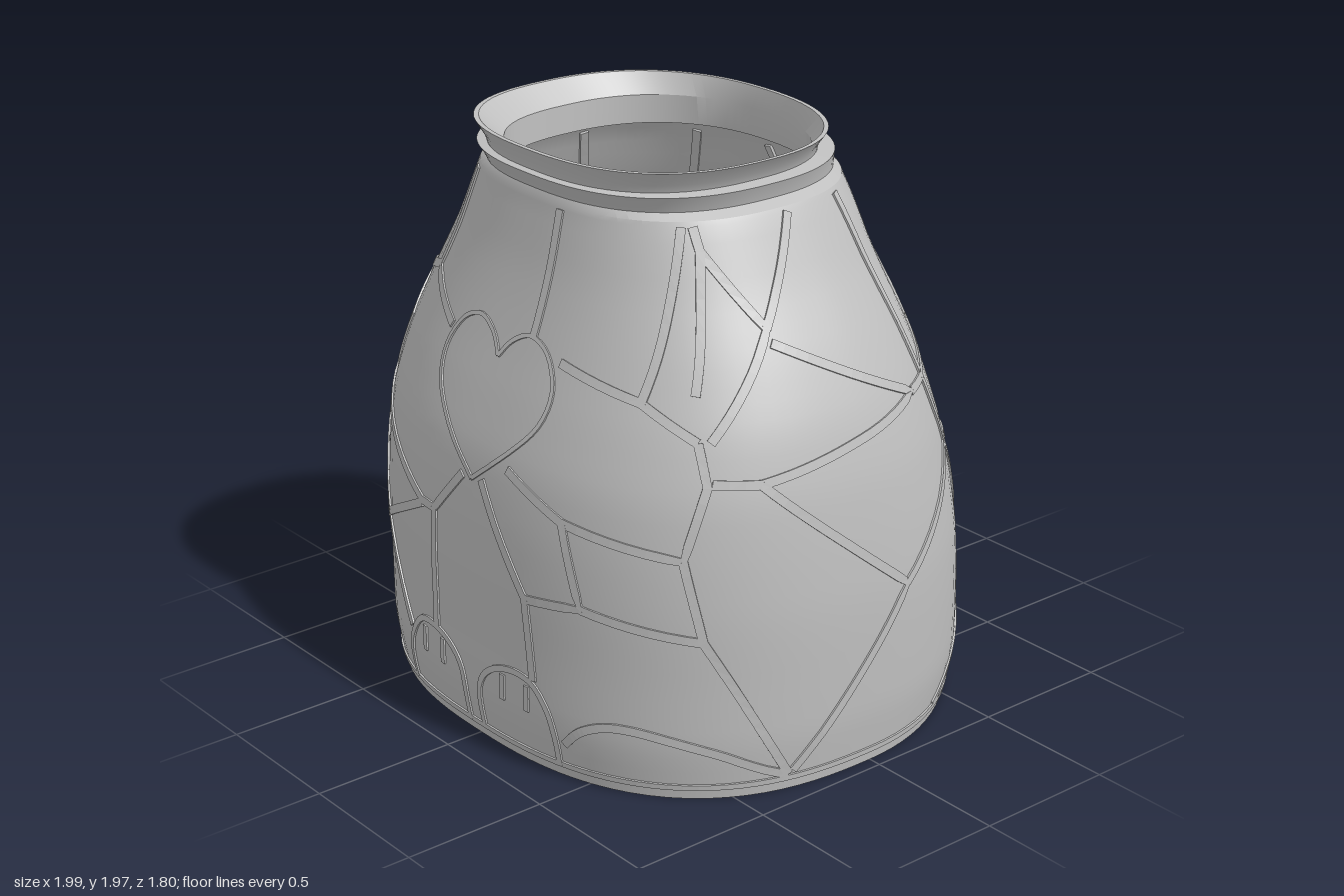
import * as THREE from 'three';
import { toCreasedNormals, mergeGeometries } from 'three/addons/utils/BufferGeometryUtils.js';

// half width, front depth and back depth of the body at every 0.2 of height
const SECTIONS = new THREE.CatmullRomCurve3([
  [0.955, 0.865, 0.855], [0.98, 0.895, 0.895], [0.987, 0.893, 0.888], [0.99, 0.893, 0.868], [0.978, 0.885, 0.83],
  [0.955, 0.858, 0.772], [0.905, 0.795, 0.697], [0.815, 0.722, 0.615], [0.7, 0.657, 0.52], [0.6, 0.61, 0.44],
].map((p) => new THREE.Vector3(...p)));
const section = (y) => SECTIONS.getPoint(THREE.MathUtils.clamp(y / 1.8, 0, 1));

// squareness of the oval: full at the front, rounder at the rear except near the collar
const power = (c, y) => (c > 0 ? 2.55 : 2 + 0.3 * THREE.MathUtils.smoothstep(y, 1.4, 1.8));

// point on an oval ring with its own front and back depth; angle 0 is the front
function ovalPoint(t, y, a, f, b) {
  const s = Math.sin(t), c = Math.cos(t), p = power(c, y);
  const k = (Math.abs(s) ** p + Math.abs(c) ** p) ** (-1 / p);
  return new THREE.Vector3(a * s * k, y, (f - b) / 2 + ((f + b) / 2) * c * k);
}
function onBody(t, y) {
  const s = section(y);
  return ovalPoint(t, y, s.x, s.y, s.z);
}

// skin a list of oval rings [y, a, f, b]
function loft(rings, n = 96) {
  const pos = [], idx = [];
  rings.forEach(([y, a, f, b]) => {
    for (let j = 0; j < n; j++) pos.push(...ovalPoint((j / n) * Math.PI * 2, y, a, f, b).toArray());
  });
  for (let i = 0; i < rings.length - 1; i++) {
    for (let j = 0; j < n; j++) {
      const k = (j + 1) % n, p = i * n, q = p + n;
      idx.push(p + j, p + k, q + k, p + j, q + k, q + j);
    }
  }
  const g = new THREE.BufferGeometry();
  g.setAttribute('position', new THREE.Float32BufferAttribute(pos, 3));
  g.setIndex(idx);
  return toCreasedNormals(g, 0.45);
}

// square-section strip through frames {p, n, s}: centre, normal, sideways (s = along x n)
function strip(frames, width, inner, outer) {
  const pos = [], idx = [];
  frames.forEach(({ p, n, s }) => {
    for (const [u, v] of [[-1, inner], [1, inner], [1, outer], [-1, outer]]) {
      pos.push(...p.clone().addScaledVector(s, (u * width) / 2).addScaledVector(n, v).toArray());
    }
  });
  const last = (frames.length - 1) * 4;
  for (let i = 0; i < last; i += 4) {
    for (let c = 0; c < 4; c++) {
      const a = i + c, b = i + ((c + 1) % 4);
      idx.push(a, b + 4, b, a, a + 4, b + 4);
    }
  }
  idx.push(0, 1, 2, 0, 2, 3, last, last + 2, last + 1, last, last + 3, last + 2);
  const g = new THREE.BufferGeometry();
  g.setAttribute('position', new THREE.Float32BufferAttribute(pos, 3));
  g.setIndex(idx);
  const flat = g.toNonIndexed();
  flat.computeVertexNormals();
  return flat;
}

// rib that follows the body through [angle, height] points
function rib(points, width = 0.03) {
  const path = [];
  points.forEach(([t, y], i) => {
    if (i === 0) return path.push([t, y]);
    const [t0, y0] = points[i - 1];
    const steps = Math.max(1, Math.ceil(Math.hypot((t - t0) * 0.8, y - y0) / 0.05));
    for (let k = 1; k <= steps; k++) path.push([t0 + ((t - t0) * k) / steps, y0 + ((y - y0) * k) / steps]);
  });
  const pts = path.map(([t, y]) => onBody(t, y));
  const frames = pts.map((p, i) => {
    const [t, y] = path[i];
    const along = pts[Math.min(i + 1, pts.length - 1)].clone().sub(pts[Math.max(i - 1, 0)]).normalize();
    const du = onBody(t + 0.01, y).sub(onBody(t - 0.01, y));
    const dv = onBody(t, Math.min(y + 0.01, 1.8)).sub(onBody(t, y - 0.01));
    const n = du.cross(dv).normalize();
    return { p, n, s: along.clone().cross(n).normalize() };
  });
  return strip(frames, width, -0.038, 0.006);
}

// angle of a point given by x (front), z (left side) or offset from a rear diagonal
const unit = (v) => THREE.MathUtils.clamp(v, -1, 1);
const other = (v, p) => (1 - Math.abs(v) ** p) ** (1 / p);
const angleOf = {
  front(u, y) {
    const x = unit(u / section(y).x);
    return Math.atan2(x, other(x, power(1, y)));
  },
  side(u, y) {
    const s = section(y), z = unit((u - (s.y - s.z) / 2) / ((s.y + s.z) / 2));
    return Math.atan2(other(z, power(z, y)), z);
  },
  rear(u, y) {
    const s = section(y);
    return (Math.PI * 7) / 6 + Math.asin(unit(u / (0.25 * s.x + 0.75 * (s.y + s.z) / 2)));
  },
};
const ribs = (face, list, width) =>
  mergeGeometries(list.map((path) => rib(path.map(([u, y]) => [angleOf[face](u, y), y]), width)));

const mirror = (path) => path.map(([x, y]) => [-x, y]);
const smooth = (path) =>
  new THREE.SplineCurve(path.map((p) => new THREE.Vector2(...p))).getPoints(28).map((p) => [p.x, p.y]);

const FRONT = [
  [[-0.38, 1.8], [-0.5, 1.45], [-0.28, 1.33]], [[-0.5, 1.45], [-0.73, 1.37], [-0.84, 1.32]],
  [[-0.58, 1.8], [-0.73, 1.37], [-0.67, 1.23], [-0.77, 1.02], [-0.94, 0.95]],
  [[-0.77, 1.02], [-0.28, 0.75], [-0.2, 0.75], [-0.05, 0.92]], [[-0.2, 0.75], [-0.2, 0.32]],
  [[-0.28, 0.74], [-0.62, 0.56], [-0.83, 0.43], [-0.93, 0.59]], [[-0.62, 0.56], [-0.38, 0.25]],
  [[-0.77, 1.02], [-0.68, 0.68], [-0.93, 0.59]], [[-0.68, 0.68], [-0.62, 0.56]], [[-0.83, 0.43], [-0.82, 0.05]],
  [[0.14, 1.8], [0.14, 1.41]], [[0.28, 1.36], [0.58, 1.3], [0.75, 1.2]], [[0.51, 1.8], [0.58, 1.3]],
  [[0.17, 1.0], [0.42, 0.9], [0.78, 0.84], [0.8, 1.07], [0.75, 1.2]],
  [[0.42, 0.9], [0.5, 0.63], [0.28, 0.6]], [[0.05, 0.93], [0.28, 0.6], [0.31, 0.32]],
  [[0.5, 0.63], [0.83, 0.57]], [[0.78, 0.84], [0.83, 0.57], [0.93, 0.06]],
  smooth([[0.43, 0.13], [0.5, 0.2], [0.6, 0.24], [0.72, 0.23], [0.85, 0.17], [0.93, 0.06]]),
];
const SIDE = [
  [[0.4, 1.8], [0.4, 1.73], [0.28, 1.5], [0.53, 1.2]], [[0.4, 1.73], [0.53, 1.33]], [[0.08, 1.8], [0.28, 1.5]],
  [[0.28, 1.46], [-0.25, 1.19], [0.42, 1.07], [0.55, 1.08]], [[-0.25, 1.19], [-0.37, 1.19]],
  [[0.42, 1.07], [-0.12, 0.61], [0.32, 0.07]], [[-0.12, 0.61], [-0.49, 0.93]],
  [[-0.16, 1.8], [-0.37, 1.19], [-0.49, 0.93], [-0.75, 0.43], [-0.82, 0.06]],
  [[-0.37, 1.19], [-0.56, 1.36]], [[-0.49, 0.93], [-0.74, 0.87]], [[-0.77, 0.35], [-0.35, 0.05]],
];
const REAR = [
  [[-0.44, 1.72], [-0.7, 1.32]], [[-0.23, 1.77], [-0.4, 1.34], [-0.36, 1.17]], [[-0.4, 1.34], [-0.7, 1.32]],
  [[0.04, 1.77], [0.12, 1.36], [0.29, 1.37], [0.45, 1.43], [0.4, 1.77]], [[0.45, 1.43], [0.68, 1.23], [0.8, 1.22]],
  [[0.68, 1.23], [0.65, 1.01], [0.44, 1.05], [0.07, 1.1], [0.12, 1.36]], [[0.29, 1.37], [0.44, 1.05]],
  [[0.07, 1.1], [-0.36, 1.17], [-0.34, 1.0], [0, 0.98], [0.07, 1.1]], [[-0.36, 1.17], [-0.64, 0.84], [-0.8, 0.9]],
  [[0, 0.98], [0, 0.75], [-0.31, 0.76], [-0.34, 1.0]],
  [[0, 0.75], [0.18, 0.55], [-0.07, 0.32], [-0.12, 0.04]], [[0.18, 0.55], [0.66, 0.44], [0.7, 0.04]],
  [[0.65, 1.01], [0.74, 0.82], [0.66, 0.44]], [[0.74, 0.82], [0.88, 0.95]],
  [[-0.31, 0.76], [-0.49, 0.66], [-0.42, 0.39], [-0.57, 0.36], [-0.57, 0.6], [-0.49, 0.66]],
  [[-0.57, 0.6], [-0.64, 0.84]], [[-0.42, 0.39], [-0.07, 0.32]], [[-0.57, 0.36], [-0.8, 0.42]],
];

export function createModel() {
  const model = new THREE.Group();
  const grey = new THREE.MeshStandardMaterial({ color: 0xc0c0c0 });
  grey.name = 'plain grey';
  const add = (name, geometry) => {
    const mesh = new THREE.Mesh(geometry, grey);
    mesh.name = name;
    model.add(mesh);
    return mesh;
  };

  // hollow body with a flared collar, outside upwards then inside downwards
  const outside = [], inside = [];
  for (let i = 0; i <= 36; i++) {
    const y = i * 0.05, s = section(y);
    outside.push([y, s.x, s.y, s.z]);
    if (y < 1.78) inside.unshift([y, s.x - 0.03, s.y - 0.03, s.z - 0.03]);
  }
  add('shell', loft([
    ...outside,
    [1.815, 0.59, 0.608, 0.438], [1.835, 0.55, 0.6, 0.425], [1.86, 0.557, 0.612, 0.423], [1.89, 0.57, 0.63, 0.42],
    [1.895, 0.52, 0.608, 0.37], [1.92, 0.53, 0.613, 0.37], [1.97, 0.573, 0.636, 0.385],
    [1.97, 0.558, 0.62, 0.37], [1.9, 0.485, 0.55, 0.355], [1.8, 0.485, 0.545, 0.365], [1.79, 0.56, 0.575, 0.41],
    ...inside, outside[0],
  ]));

  // raised seams between the panels
  add('frontSeams', ribs('front', FRONT));
  add('sideSeams', ribs('side', SIDE));
  add('rearSeams', ribs('rear', REAR));
  add('baseSeam', rib(Array.from({ length: 65 }, (_, i) => [(i / 64) * Math.PI * 2, 0.045]), 0.02));

  // heart outline on the front
  const half = smooth([[0, 1.31], [0.05, 1.37], [0.13, 1.405], [0.22, 1.37], [0.28, 1.27], [0.26, 1.16], [0.16, 1.05], [0, 0.92]]);
  add('heartOutline', ribs('front', [half, mirror(half)], 0.015));

  // two rounded paws with toe lines at the foot of the front
  const arch = smooth([[0.04, 0.04], [0.045, 0.2], [0.1, 0.28], [0.2, 0.32], [0.3, 0.31], [0.37, 0.23], [0.395, 0.14], [0.395, 0.04]]);
  const paw = [arch, [[0.165, 0.2], [0.165, 0.29]], [[0.28, 0.2], [0.28, 0.29]]];
  add('paws', ribs('front', [...paw, ...paw.map(mirror)], 0.022));

  // inner holder: flat ring with straight arms that slope down to the wall
  const ring = new THREE.Shape().absarc(0, 0, 0.32, 0, Math.PI * 2);
  ring.holes.push(new THREE.Path().absarc(0, 0, 0.19, 0, Math.PI * 2, true));
  const ringGeometry = new THREE.ExtrudeGeometry(ring, { depth: 0.03, bevelEnabled: false, curveSegments: 48 });
  const holder = add('holderRing', ringGeometry.rotateX(-Math.PI / 2));
  holder.position.set(0, 1.6, 0.118);

  const ARMS = 26, arms = [];
  for (let i = 0; i < ARMS; i++) {
    const t = ((i + 0.5) / ARMS) * Math.PI * 2;
    const top = new THREE.Vector3(0.3 * Math.sin(t), 1.61, 0.3 * Math.cos(t) + 0.118);
    const foot = new THREE.Vector3(0.85 * Math.sin(t), 0.7, 0.76 * Math.cos(t) + 0.02);
    const along = foot.clone().sub(top).normalize();
    const s = new THREE.Vector3(Math.cos(t), 0, -Math.sin(t));
    const n = s.clone().cross(along).normalize();
    arms.push(strip([top, foot].map((p) => ({ p, n, s })), 0.066, -0.015, 0.015));
  }
  add('holderArms', mergeGeometries(arms));
  return model;
}
